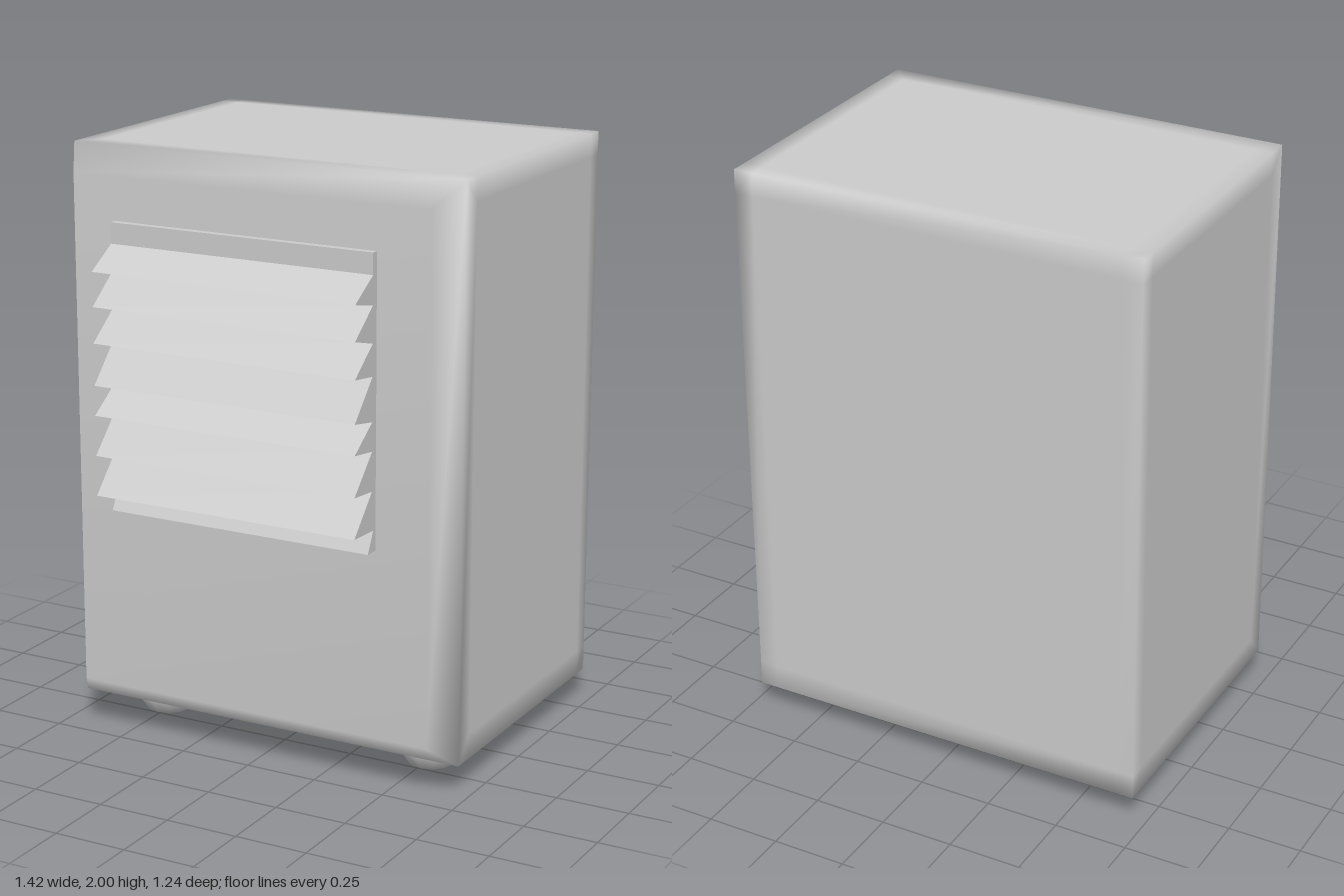
import * as THREE from 'three';
import { mergeVertices } from 'three/addons/utils/BufferGeometryUtils.js';

const material = new THREE.MeshStandardMaterial({ color: 0xcccccc });

function addMesh(parent, name, geometry) {
  const mesh = new THREE.Mesh(geometry, material);
  mesh.name = name;
  parent.add(mesh);
  return mesh;
}

// Cabinet: a box with narrow edge loops, bevelled at the front and smoothly shaded
function cabinetGeometry() {
  const xs = [-0.71, -0.645, 0.645, 0.71];
  const ys = [0.095, 0.18, 1.92, 2];
  const zs = [-0.62, -0.56, 0.3, 0.48];
  const geo = new THREE.BoxGeometry(3, 3, 3, 3, 3, 3);
  const p = geo.attributes.position;
  for (let i = 0; i < p.count; i++) {
    let ix = Math.round(p.getX(i) + 1.5);
    let iy = Math.round(p.getY(i) + 1.5);
    const iz = Math.round(p.getZ(i) + 1.5);
    let z = zs[iz];
    // The outer ring of the front is pulled back into mitred corners
    if (iz === 3 && (ix % 3 === 0 || iy % 3 === 0)) {
      ix = ix < 2 ? 0 : 3;
      iy = iy < 2 ? 0 : 3;
      z = 0.375;
    }
    p.setXYZ(i, xs[ix], ys[iy], z);
  }
  geo.deleteAttribute('normal');
  geo.deleteAttribute('uv');
  const merged = mergeVertices(geo);
  merged.computeVertexNormals();
  return merged;
}

// Louvre grille: saw-tooth side profile (z, y) extruded across the front
function grilleGeometry() {
  const tips = [1.635, 1.52, 1.4, 1.26, 1.16, 1.025, 0.89];
  const roots = [1.61, 1.49, 1.385, 1.24, 1.145, 1.015, 0.885];
  const shape = new THREE.Shape();
  shape.moveTo(0.46, 0.815);
  shape.lineTo(0.46, 1.775);
  shape.lineTo(0.505, 1.775);
  shape.lineTo(0.505, 1.705);
  tips.forEach((y, i) => {
    shape.lineTo(0.62, y);
    shape.lineTo(0.505, roots[i]);
  });
  shape.lineTo(0.495, 0.885);
  shape.lineTo(0.53, 0.815);
  const geo = new THREE.ExtrudeGeometry(shape, { depth: 0.95, bevelEnabled: false });
  geo.rotateY(-Math.PI / 2); // profile z -> z, extrusion -> -x
  geo.translate(0.46, 0, 0);
  return geo;
}

// Foot: short tapered knob
function footGeometry(r) {
  const profile = [[0, 0.005], [r * 0.72, 0], [r, 0.045], [r, 0.08], [r * 0.9, 0.11]];
  return new THREE.LatheGeometry(profile.map(([x, y]) => new THREE.Vector2(x, y)), 12);
}

export function createModel() {
  const group = new THREE.Group();
  group.name = 'louvredCabinet';
  addMesh(group, 'cabinet', cabinetGeometry());
  addMesh(group, 'louvreGrille', grilleGeometry());
  for (const [end, z, r] of [['front', 0.168, 0.11], ['rear', -0.422, 0.095]]) {
    for (const side of [1, -1]) {
      const foot = addMesh(group, end + (side > 0 ? 'LeftFoot' : 'RightFoot'), footGeometry(r));
      foot.position.set(side * 0.51, 0, z);
    }
  }
  return group;
}
